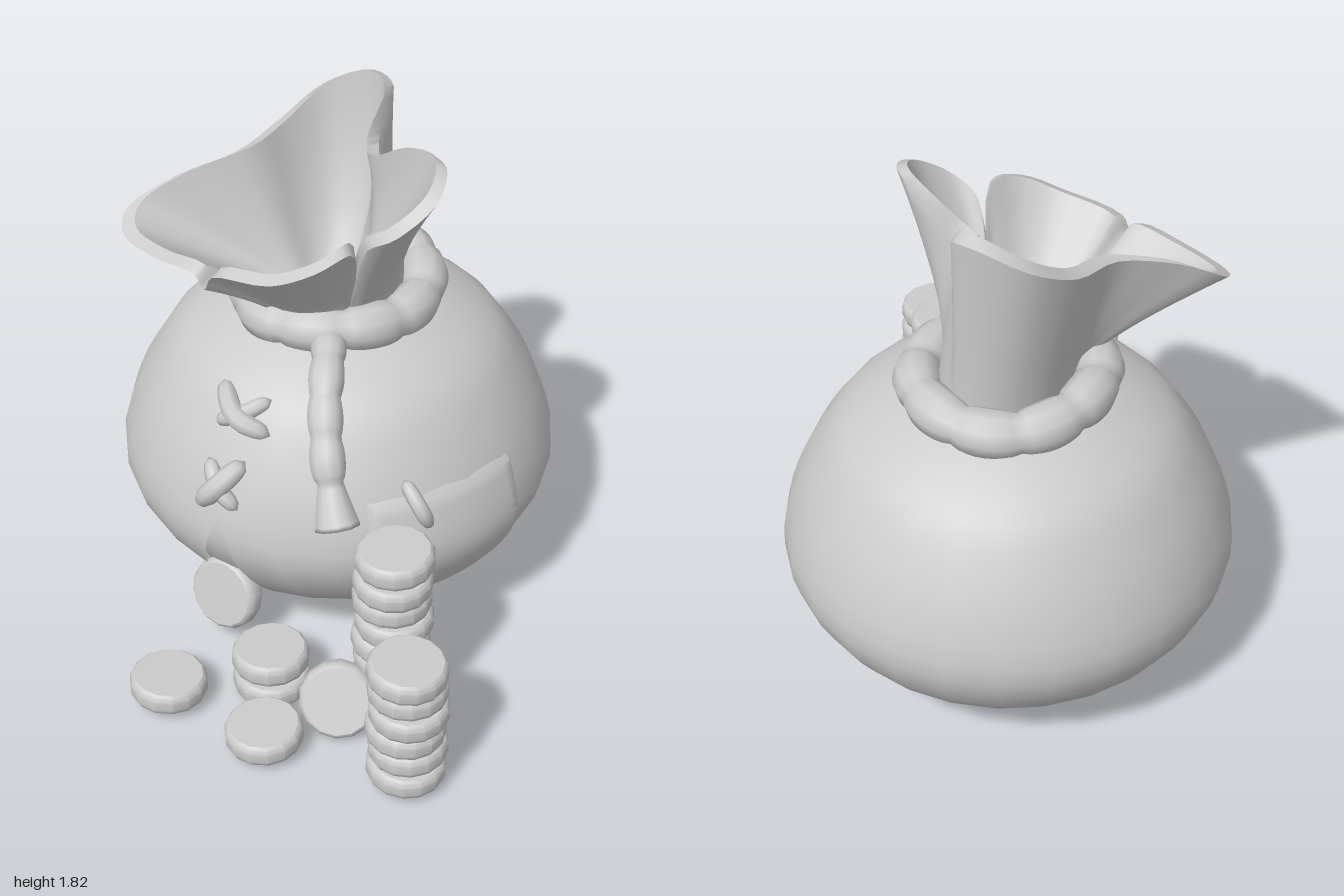
import * as THREE from 'three';
import { mergeVertices, toCreasedNormals } from 'three/addons/utils/BufferGeometryUtils.js';
import { ParametricGeometry } from 'three/addons/geometries/ParametricGeometry.js';

const CX = -0.115, CZ = -0.23; // axis of the sack
const V = (x, y, z) => new THREE.Vector3(x, y, z);
const mat = new THREE.MeshStandardMaterial({ color: 0xcccccc, side: THREE.DoubleSide });

// Weld the seams and smooth, keeping edges sharper than the crease angle
function mesh(name, geo, crease) {
  geo.deleteAttribute('uv');
  geo.deleteAttribute('normal');
  geo = mergeVertices(geo, 1e-4);
  geo.computeVertexNormals();
  if (crease) geo = toCreasedNormals(geo, crease);
  const m = new THREE.Mesh(geo, mat);
  m.name = name;
  return m;
}

const surface = (name, f, nu, nv, crease) =>
  mesh(name, new ParametricGeometry((u, v, t) => t.copy(f(u, v)), nu, nv), crease);

// Tube whose radius varies along the path
function rope(name, curve, n, sides, radius, closed = false) {
  const geo = new THREE.TubeGeometry(curve, n, 1, sides, closed);
  const pos = geo.attributes.position, p = V(0, 0, 0);
  for (let i = 0; i <= n; i++) {
    const c = curve.getPointAt(i / n);
    for (let j = 0; j <= sides; j++) {
      const k = i * (sides + 1) + j;
      p.fromBufferAttribute(pos, k).sub(c).multiplyScalar(radius(i / n)).add(c);
      pos.setXYZ(k, p.x, p.y, p.z);
    }
  }
  return mesh(name, geo);
}

// Sack profile, radius against height
const profile = new THREE.CatmullRomCurve3([
  [0, 0.025], [0.15, 0.03], [0.36, 0.068], [0.53, 0.14], [0.675, 0.26], [0.775, 0.46],
  [0.735, 0.67], [0.64, 0.86], [0.56, 0.965], [0.435, 1.05], [0.29, 1.11], [0, 1.13],
].map(([r, y]) => V(r, y, 0)));
const samples = profile.getPoints(110);

function radiusAt(y) {
  const i = Math.max(1, samples.findIndex(p => p.y >= y));
  const a = samples[i - 1], b = samples[i];
  return THREE.MathUtils.mapLinear(y, a.y, b.y, a.x, b.x);
}
const polar = (r, y, a) => V(CX + r * Math.sin(a), y, CZ + r * Math.cos(a));
const onFront = (x, y, off) =>
  V(x, y, CZ + Math.sqrt(Math.max(0, radiusAt(y) ** 2 - (x - CX) ** 2)) + off);

// Half angle of the tear in the front of the sack
function tear(r, y) {
  if (y < 0.06 || y > 0.6) return 0;
  const half = y > 0.17 ? 0.13 * ((0.6 - y) / 0.43) ** 0.85 : 0.13 * (y - 0.06) / 0.11;
  return half / r;
}

function makeSack() {
  const g = new THREE.Group();
  g.name = 'sack';
  g.add(surface('sackBody', (u, v) => {
    const p = profile.getPoint(v), w = tear(p.x, p.y);
    return polar(Math.max(p.x, 0), p.y, w + u * (2 * Math.PI - 2 * w));
  }, 26, 33));
  g.add(surface('tearLining', (u, v) => {
    const y = 0.05 + 0.57 * v, r = radiusAt(y);
    return polar(r - 0.03, y, (u * 2 - 1) * (tear(r, y) + 0.04));
  }, 6, 12));
  return g;
}

// Flared, folded mouth: a thick shell lofted from an oval to a wavy rim,
// its inside closing like a funnel
function makeMouth() {
  const rim = new THREE.CatmullRomCurve3([
    [-0.22, 1.44, 0.375], [0, 1.48, 0.365], [0.13, 1.535, 0.3], [0.185, 1.56, 0.18],
    [0.1, 1.33, 0.0], [0.2, 1.54, 0.1], [0.3, 1.61, 0.09], [0.375, 1.7, -0.03],
    [0.33, 1.755, -0.17], [0.19, 1.72, -0.24], [0.04, 1.64, -0.26], [-0.03, 1.68, -0.35],
    [-0.06, 1.79, -0.49], [-0.16, 1.81, -0.52], [-0.32, 1.74, -0.46], [-0.4, 1.65, -0.3],
    [-0.44, 1.61, -0.1], [-0.58, 1.55, 0.06], [-0.69, 1.46, 0.19], [-0.65, 1.42, 0.28],
    [-0.47, 1.42, 0.35], [-0.29, 1.43, 0.375], [-0.255, 1.38, 0.37],
  ].map(p => V(...p)), true);
  const steps = 8, rows = 2 * steps + 1, throat = V(-0.09, 1.12, -0.1);
  return surface('mouth', (u, v) => {
    const k = Math.round(v * rows), inner = k > steps;
    const t = (inner ? rows - k : k) / steps;
    const top = rim.getPoint(u % 1);
    const a = Math.atan2(top.x + 0.1, top.z + 0.2);
    const base = V(-0.1 + 0.21 * Math.sin(a), 1.09, -0.22 + 0.27 * Math.cos(a));
    const s = t ** 1.35;
    const p = V(base.x + (top.x - base.x) * s, base.y + (top.y - base.y) * t, base.z + (top.z - base.z) * s);
    if (inner) {
      p.add(V(-0.045 * Math.sin(a), 0.02 * t, -0.045 * Math.cos(a)));
      p.lerp(throat, (1 - t) ** 2);
    }
    return p;
  }, 92, rows, 0.8);
}

function makeCord() {
  const g = new THREE.Group();
  g.name = 'cord';
  // Lumpy ring around the neck
  const ring = [];
  for (let i = 0; i < 20; i++) {
    const a = i / 20 * 2 * Math.PI;
    ring.push(V(CX + 0.295 * Math.sin(a), 1.135 + 0.01 * Math.sin(3 * a), -0.225 + 0.32 * Math.cos(a)));
  }
  g.add(rope('neckCord', new THREE.CatmullRomCurve3(ring, true), 80, 10,
    t => 0.068 + 0.015 * Math.abs(Math.sin(10 * Math.PI * t)) ** 0.6, true));
  // Hanging end: lumps, a pinch and a flared tassel
  const path = new THREE.CatmullRomCurve3([V(0.03, 1.11, 0.06), V(0.09, 1.12, 0.16), V(0.16, 1.05, 0.29),
    V(0.23, 0.92, 0.39), V(0.28, 0.81, 0.44), V(0.33, 0.695, 0.48)]);
  g.add(rope('hangingCord', path, 48, 10, t => {
    if (t === 0 || t === 1) return 0;
    if (t < 0.76) return 0.049 + 0.013 * Math.abs(Math.sin(4 * Math.PI * t / 0.76)) ** 0.6;
    return 0.042 + 0.04 * (t - 0.76) / 0.24;
  }));
  return g;
}

// Pocket-shaped patch following the sack's side
function makePatch() {
  return surface('patch', (u, v) => {
    const x = u * 2 - 1, d = 1 - v;
    const width = 0.43 * Math.sqrt(1 - 0.15 * d - 0.6 * d ** 5);
    const y = 0.185 + 0.54 * v + 0.05 * d * x * x;
    const edge = u === 0 || u === 1 || v === 0 || v === 1;
    return polar(radiusAt(y) + (edge ? -0.015 : 0.012), y, 1.1 + x * width);
  }, 18, 16, 0.7);
}

function makeStitches() {
  const g = new THREE.Group();
  g.name = 'stitches';
  const stitch = (a, mid, b, r) => g.add(rope('stitch', new THREE.CatmullRomCurve3([a, mid, b]), 12, 8,
    t => r * Math.sqrt(Math.max(0, 1 - (2 * t - 1) ** 4))));
  // Two crosses above the tear
  for (const [x0, y0, x1, y1, r, off] of [
    [-0.21, 0.88, -0.04, 0.98, 0.03, 0.02], [-0.24, 0.98, 0, 0.89, 0.036, 0.045],
    [-0.2, 0.77, -0.05, 0.64, 0.03, 0.02], [-0.2, 0.62, -0.06, 0.8, 0.038, 0.045]]) {
    stitch(onFront(x0, y0, 0), onFront((x0 + x1) / 2, (y0 + y1) / 2, off), onFront(x1, y1, 0), r);
  }
  // Loops holding the patch
  for (const [a0, y0, a1, y1] of [[0.88, 0.77, 0.98, 0.6], [0.66, 0.28, 0.8, 0.4]]) {
    const ym = (y0 + y1) / 2;
    stitch(polar(radiusAt(y0), y0, a0), polar(radiusAt(ym) + 0.045, ym, (a0 + a1) / 2),
      polar(radiusAt(y1), y1, a1), 0.027);
  }
  return g;
}

function makeCoins() {
  const g = new THREE.Group();
  g.name = 'coins';
  const half = [[0.134, 0.018], [0.127, 0.033], [0.118, 0.041], [0, 0.041]];
  const outline = [...half.map(([r, y]) => [r, -y]).reverse(), ...half];
  const shape = outline.map(([r, y]) => new THREE.Vector2(r, y));
  const coin = (x, y, z, normal = V(0, 1, 0), turn = 0) => {
    const m = mesh('coin', new THREE.LatheGeometry(shape, 14), 0.5);
    m.position.set(x, y, z);
    m.quaternion.setFromUnitVectors(V(0, 1, 0), normal.normalize());
    m.rotateY(turn);
    g.add(m);
  };
  // Stacks and flat coins: x, z, count, lowest centre, spacing
  for (const [x, z, count, y, step] of [[0.535, 0.465, 8, 0.075, 0.084], [0.75, 0.725, 6, 0.075, 0.083],
    [0.14, 0.61, 2, 0.065, 0.083], [-0.12, 0.84, 1, 0.08, 0], [0.275, 0.865, 1, 0.075, 0]]) {
    for (let i = 0; i < count; i++) {
      const w = i * 2.4 + x * 9;
      coin(x + 0.006 * Math.sin(w), y + i * step, z + 0.006 * Math.cos(w),
        V(0.04 * Math.cos(w), 1, 0.04 * Math.sin(w)), w);
    }
  }
  // Leaning coins
  coin(0.44, 0.135, 0.65, V(0.38, 0.45, 0.8));
  coin(-0.14, 0.2, 0.46, V(-0.05, 0.25, 0.95));
  return g;
}

export function createModel() {
  const model = new THREE.Group();
  model.name = 'coinSack';
  model.add(makeSack(), makeMouth(), makeCord(), makePatch(), makeStitches(), makeCoins());
  model.position.y = -0.01;
  const root = new THREE.Group();
  root.add(model);
  return root;
}
